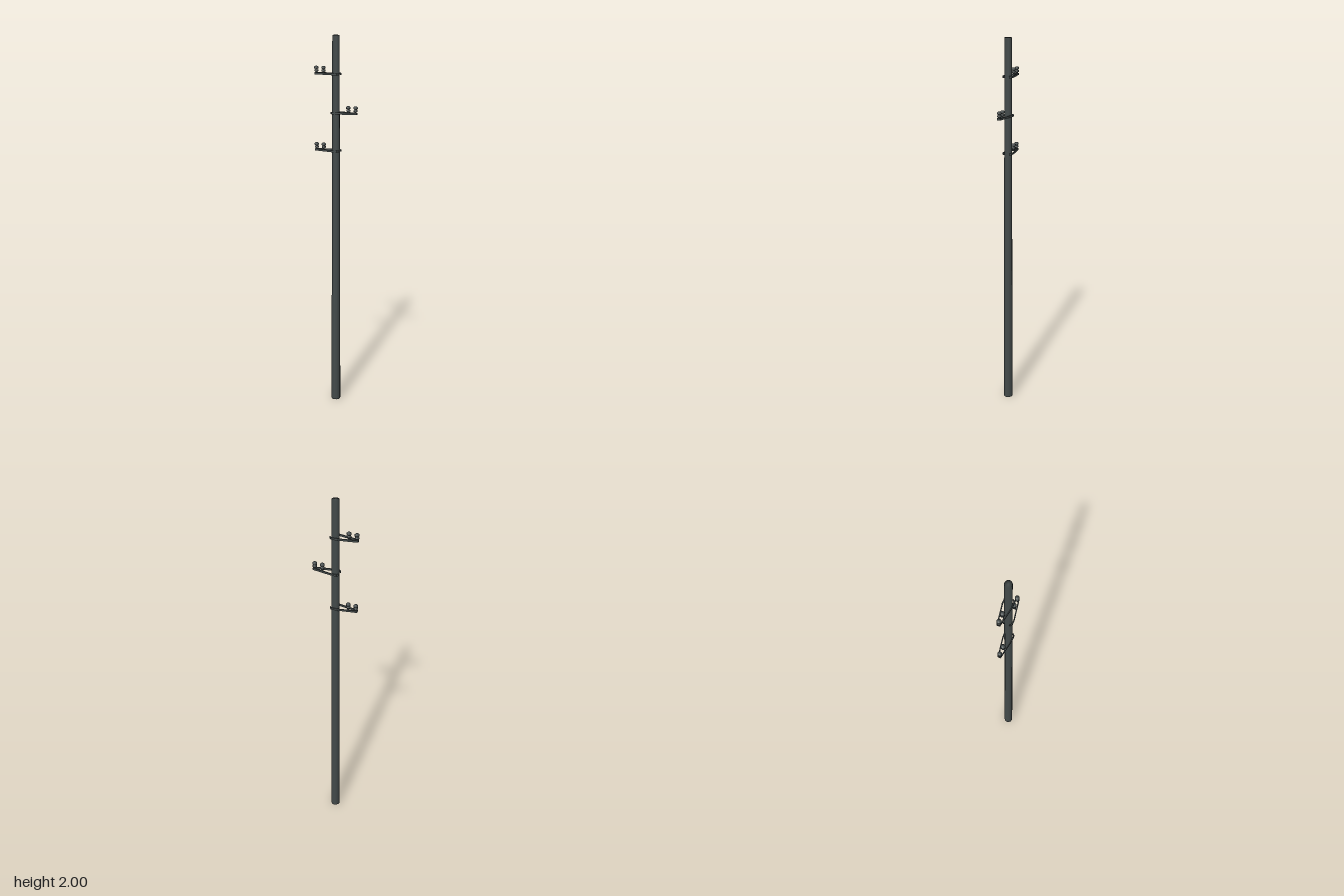
import * as THREE from 'three';
import { mergeVertices } from 'three/addons/utils/BufferGeometryUtils.js';

const steel = new THREE.MeshStandardMaterial({ color: 0x434a4a });
steel.name = 'dark steel';

// Share normals across hard edges for a fully smooth-shaded surface
function smooth(geometry) {
  geometry.deleteAttribute('normal');
  geometry.deleteAttribute('uv');
  const g = mergeVertices(geometry, 1e-5);
  g.computeVertexNormals();
  return g;
}

function add(parent, geometry, name) {
  const mesh = new THREE.Mesh(geometry, steel);
  mesh.name = name;
  parent.add(mesh);
  return mesh;
}

// Straight flat bar between two points in the horizontal plane
function bar(parent, x1, z1, x2, z2, name) {
  const length = Math.hypot(x2 - x1, z2 - z1);
  const mesh = add(parent, new THREE.BoxGeometry(length, 0.01, 0.005), name);
  mesh.position.set((x1 + x2) / 2, 0, (z1 + z2) / 2);
  mesh.rotation.y = -Math.atan2(z2 - z1, x2 - x1);
}

// Two stacked sheds on a narrow pin
const insulatorProfile = [
  [0, 0], [0.005, 0], [0.005, 0.008], [0.011, 0.01], [0.011, 0.017],
  [0.006, 0.019], [0.006, 0.022], [0.012, 0.024], [0.012, 0.031],
  [0.007, 0.036], [0, 0.037],
].map(([r, y]) => new THREE.Vector2(r, y));

// Bracket reaching toward +x, turned round for the opposite side
function crossArm(side, y) {
  const arm = new THREE.Group();
  arm.name = 'crossArm';
  for (const s of [-1, 1]) {
    bar(arm, -0.014, s * 0.0235, 0.014, s * 0.0235, 'clampPlate');
    bar(arm, 0.012, s * 0.0235, 0.115, s * 0.006, 'armBar');
    // Short return hugging the far side of the pole
    bar(arm, -0.014, s * 0.0235, -0.022, s * 0.014, 'clampReturn');
  }
  bar(arm, 0.115, -0.007, 0.115, 0.007, 'armTip');
  for (const x of [0.069, 0.109]) {
    const seat = add(arm, new THREE.BoxGeometry(0.009, 0.006, x < 0.1 ? 0.026 : 0.014), 'insulatorSeat');
    seat.position.set(x, 0.001, 0);
    const insulator = add(arm, smooth(new THREE.LatheGeometry(insulatorProfile, 8)), 'insulator');
    insulator.position.set(x, 0.001, 0);
  }
  arm.position.y = y;
  arm.rotation.y = side > 0 ? 0 : Math.PI;
  return arm;
}

export function createModel() {
  const model = new THREE.Group();
  model.name = 'utilityPole';

  // Tapered pole
  const pole = add(model, smooth(new THREE.CylinderGeometry(0.0185, 0.025, 2, 12)), 'pole');
  pole.position.y = 1;

  // Staggered brackets
  for (const [side, y] of [[-1, 1.807], [1, 1.61], [-1, 1.413]]) model.add(crossArm(side, y));
  return model;
}
